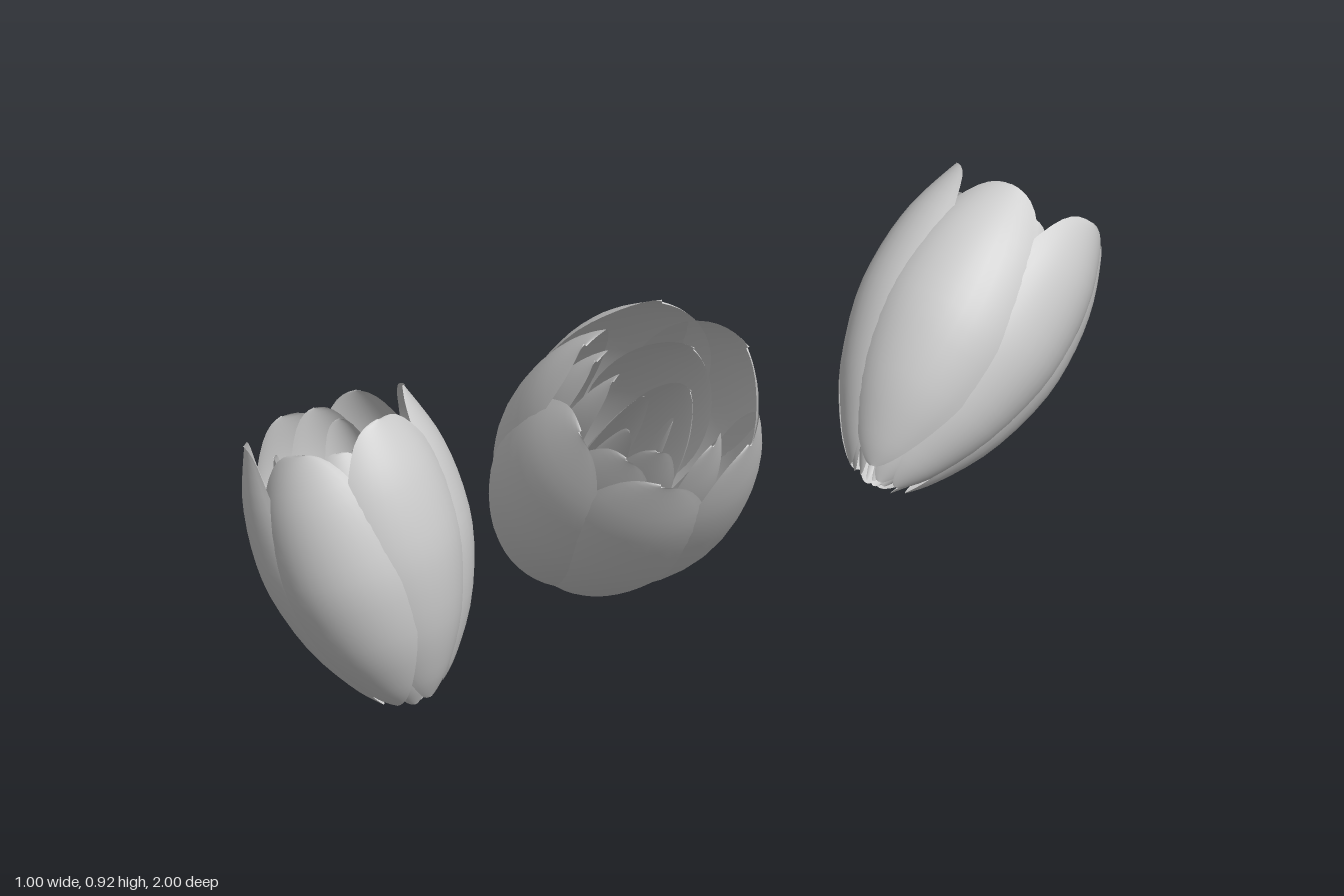
import * as THREE from 'three';

const material = new THREE.MeshStandardMaterial({ color: 0xcccccc, side: THREE.DoubleSide });
const UP = new THREE.Vector3(0, 1, 0);

// bud outline: radius (relative to the widest point) along the height
const profile = new THREE.SplineCurve([
  [0.24, 0], [0.5, 0.1], [0.79, 0.27], [0.97, 0.47], [1.0, 0.64], [0.93, 0.82], [0.75, 1],
].map(([r, h]) => new THREE.Vector2(r, h)));

// one cupped petal, facing +z, with a rounded tip and a narrow foot
function petalGeometry({ length, radius, halfAngle, start, close }) {
  const rows = 26, cols = 14, positions = [], index = [];
  for (let i = 0; i <= rows; i++) {
    const t = 0.5 - 0.5 * Math.cos(Math.PI * i / rows);
    const width = Math.sqrt(Math.max(0, 1 - t ** 5)) * Math.sqrt(Math.max(0, 1 - (1 - t) ** 9))
      * (0.66 + 0.34 * Math.sin(Math.PI * t * 0.8));
    const p = profile.getPoint(start + (1 - start) * t);
    for (let j = 0; j <= cols; j++) {
      const u = (j / cols) * 2 - 1;
      const a = u * halfAngle * width;
      // edges tuck inwards, one a little more than the other
      const r = radius * p.x * (1 - 0.11 * u * u * width + 0.02 * u - close * t * t);
      positions.push(r * Math.sin(a), p.y * length, r * Math.cos(a));
      if (i < rows && j < cols) {
        const k = i * (cols + 1) + j;
        index.push(k, k + 1, k + cols + 1, k + 1, k + cols + 2, k + cols + 1);
      }
    }
  }
  const geometry = new THREE.BufferGeometry();
  geometry.setAttribute('position', new THREE.Float32BufferAttribute(positions, 3));
  geometry.setIndex(index);
  geometry.computeVertexNormals();
  return geometry;
}

// rings of petals from the outside to the heart of the bud
const rings = [
  { name: 'outerPetal', count: 3, turn: 0, size: 1.02, height: 0.98, half: 0.88, start: 0.06, close: 0 },
  { name: 'middlePetal', count: 3, turn: Math.PI / 3, size: 0.97, height: 0.98, half: 0.86, start: 0.03, close: -0.05 },
  { name: 'innerPetal', count: 4, turn: 0.5, size: 0.8, height: 0.93, half: 0.8, start: 0, close: 0.06 },
  { name: 'heartPetal', count: 3, turn: 1.1, size: 0.56, height: 0.9, half: 0.9, start: 0, close: 0.12 },
  { name: 'corePetal', count: 3, turn: 0.2, size: 0.3, height: 0.84, half: 0.9, start: 0, close: 0.2 },
];

function makeBud(name, base, top, radius, spin) {
  const bud = new THREE.Group();
  bud.name = name;
  const from = new THREE.Vector3(...base);
  const axis = new THREE.Vector3(...top).sub(from);
  const length = axis.length();
  rings.forEach((ring, n) => {
    for (let i = 0; i < ring.count; i++) {
      // small regular variation so that the tips do not line up
      const vary = Math.sin(i * 2.4 + n * 1.7 + spin * 3);
      const petal = new THREE.Mesh(petalGeometry({
        length: length * (ring.height + 0.025 * vary),
        radius: radius * ring.size,
        halfAngle: ring.half,
        start: ring.start,
        close: ring.close - 0.05 * vary,
      }), material);
      petal.name = ring.name;
      petal.rotation.y = spin + ring.turn + (i / ring.count) * Math.PI * 2 + 0.06 * vary;
      bud.add(petal);
    }
  });
  bud.position.copy(from);
  bud.quaternion.setFromUnitVectors(UP, axis.normalize());
  return bud;
}

export function createModel() {
  const model = new THREE.Group();
  model.name = 'flowerBuds';
  model.add(
    makeBud('rightBud', [-0.2, 0.22, 0.82], [-0.365, 0.735, 0.81], 0.187, -0.05),
    makeBud('middleBud', [-0.105, 0.265, 0.275], [0.215, 0.81, 0.7], 0.218, -0.65),
    makeBud('leftBud', [0.2, 0.035, -0.54], [0.365, 0.42, -0.91], 0.19, -0.05),
  );
  return model;
}
